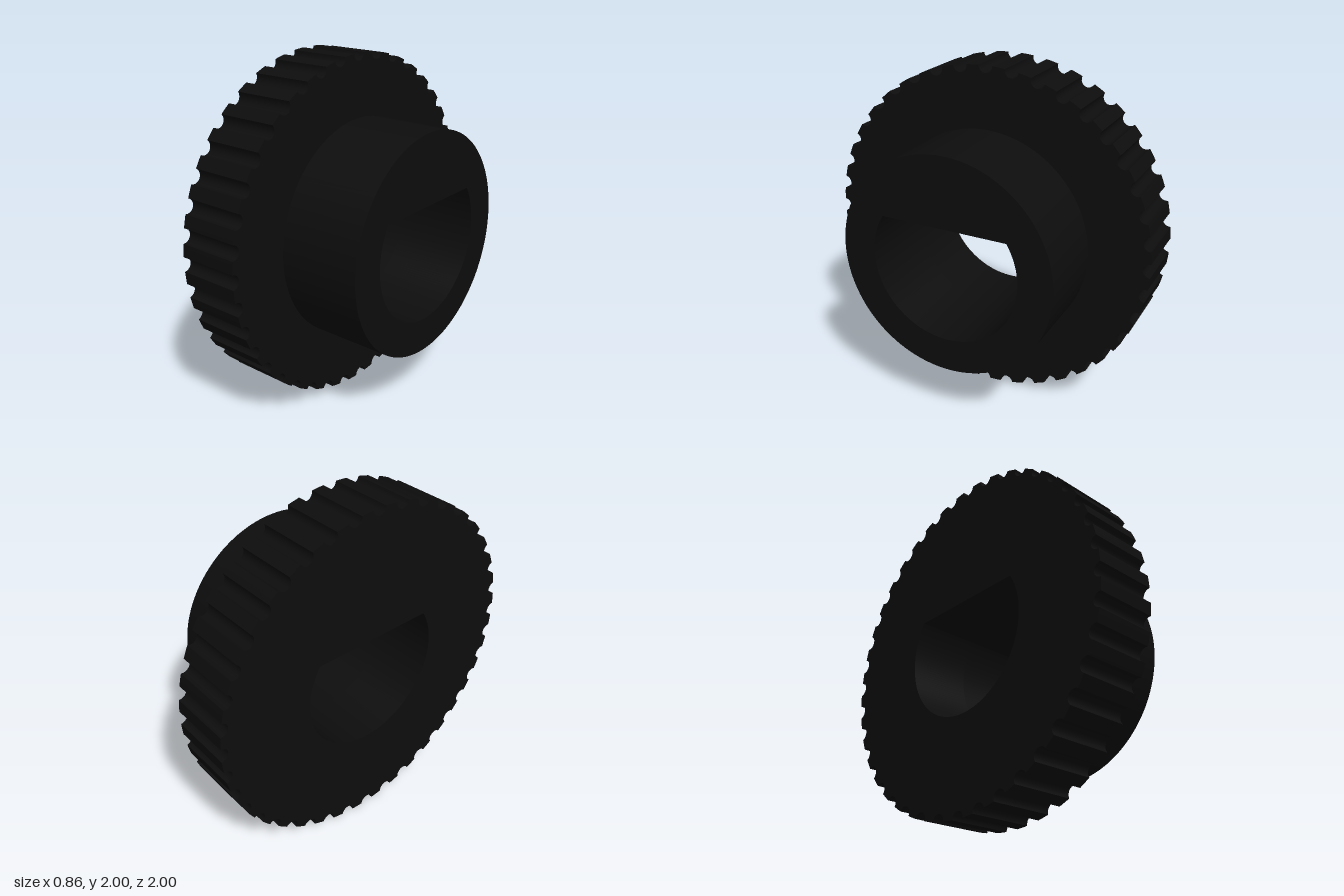
import * as THREE from 'three';
import { toCreasedNormals } from 'three/addons/utils/BufferGeometryUtils.js';

const TEETH = 40, OUTER_R = 1, NOTCH_R = 0.042;
const HUB_R = 0.643, BORE_R = 0.443, FLAT_Y = 0.235;
const X_BACK = -0.428, X_STEP = -0.06, X_END = 0.428;

// D-shaped bore: a circle cut by a flat at the top
function boreHole() {
  const b = Math.asin(FLAT_Y / BORE_R);
  return new THREE.Path().absarc(0, 0, BORE_R, Math.PI - b, 2 * Math.PI + b, false);
}

// Round rim with evenly spaced semicircular notches
function toothedOutline() {
  const pts = [];
  const step = (2 * Math.PI) / TEETH;
  const half = 2 * Math.asin(NOTCH_R / (2 * OUTER_R));
  const start = -(Math.PI / 2 + half / 2), sweep = Math.PI - half;
  for (let i = 0; i < TEETH; i++) {
    const t = i * step;
    for (let k = 0; k <= 10; k++) {
      const a = t + start - (sweep * k) / 10;
      pts.push(new THREE.Vector2(
        OUTER_R * Math.cos(t) + NOTCH_R * Math.cos(a),
        OUTER_R * Math.sin(t) + NOTCH_R * Math.sin(a)));
    }
    for (let k = 1; k < 4; k++) {
      const a = t + half + ((step - 2 * half) * k) / 4;
      pts.push(new THREE.Vector2(OUTER_R * Math.cos(a), OUTER_R * Math.sin(a)));
    }
  }
  return new THREE.Shape(pts);
}

// Extrude a bored profile along x between two planes
function boredPart(name, shape, x0, x1, material) {
  shape.holes.push(boreHole());
  const geo = new THREE.ExtrudeGeometry(shape, { depth: x1 - x0, bevelEnabled: false, curveSegments: 64 });
  geo.rotateY(Math.PI / 2);
  geo.translate(x0, 1, 0);
  const mesh = new THREE.Mesh(toCreasedNormals(geo, Math.PI / 6), material);
  mesh.name = name;
  return mesh;
}

export function createModel() {
  const black = new THREE.MeshStandardMaterial({ color: 0x0d0d0d });
  black.name = 'black';

  const group = new THREE.Group();
  group.name = 'pulley';
  group.add(boredPart('toothedWheel', toothedOutline(), X_BACK, X_STEP, black));
  const hub = new THREE.Shape().absarc(0, 0, HUB_R, 0, 2 * Math.PI, false);
  group.add(boredPart('hub', hub, X_STEP, X_END, black));
  return group;
}
